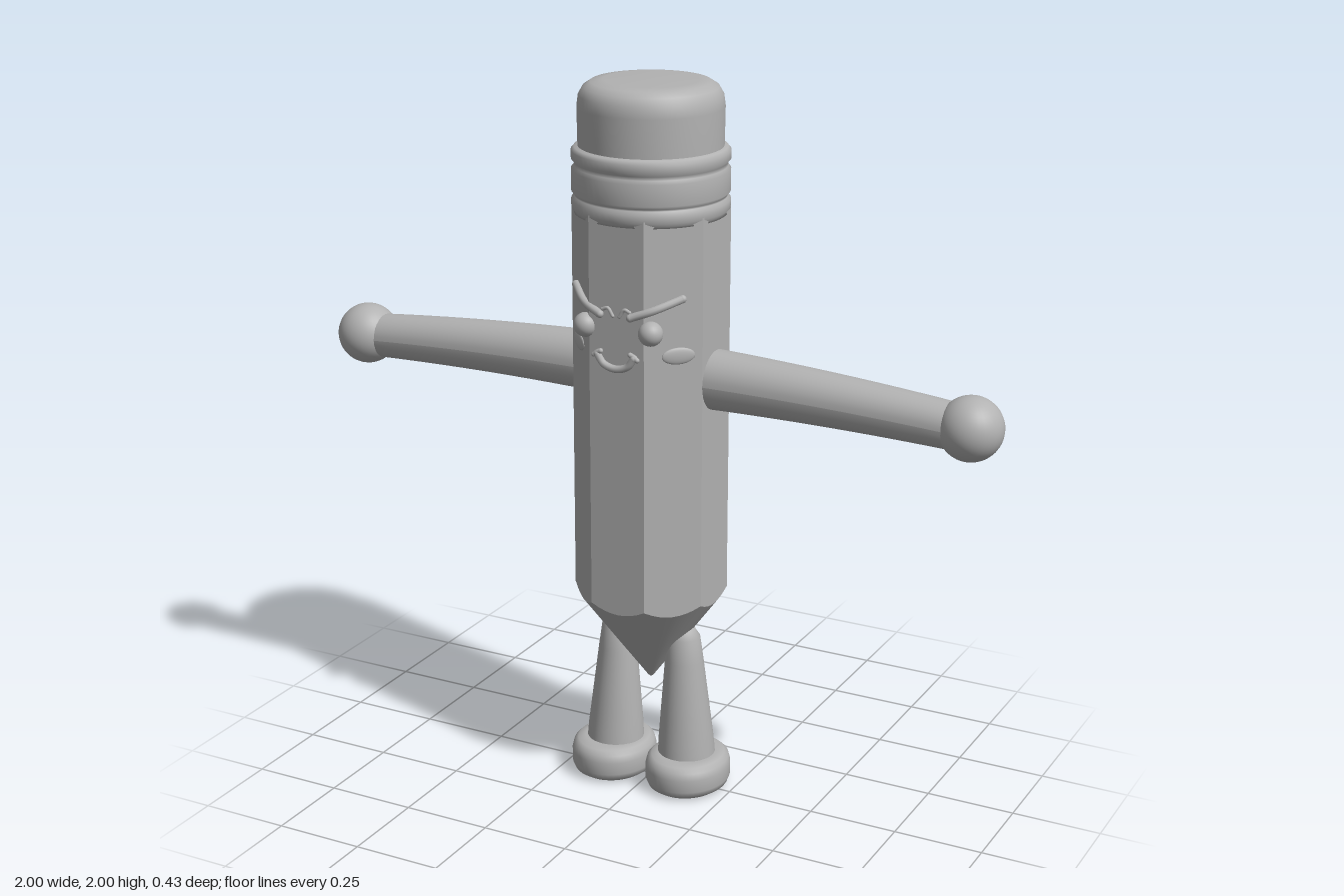
import * as THREE from 'three';

const grey = new THREE.MeshStandardMaterial({ color: 0xb2b2b2 });
grey.name = 'plain grey';

const APOTHEM = 0.195, TIP_Y = 0.3, SLOPE = 1.36, COLS = 64;

function add(parent, name, geometry, x = 0, y = 0, z = 0) {
  const mesh = new THREE.Mesh(geometry, grey);
  mesh.name = name;
  mesh.position.set(x, y, z);
  parent.add(mesh);
  return mesh;
}

const lathe = (pts, segs = 48) =>
  new THREE.LatheGeometry(pts.map(([r, y]) => new THREE.Vector2(r, y)), segs);

// distance from the axis to the octagon outline, flats facing the axes
function octRadius(a) {
  const step = Math.PI / 4;
  return APOTHEM / Math.cos(a - Math.round(a / step) * step);
}

// surface through stacked rings; each ring maps an angle to [radius, height]
function rings(rows) {
  const pos = [], index = [];
  for (const row of rows) {
    for (let i = 0; i < COLS; i++) {
      const a = (i / COLS) * Math.PI * 2, [r, y] = row(a);
      pos.push(r * Math.sin(a), y, r * Math.cos(a));
    }
  }
  for (let j = 0; j < rows.length - 1; j++) {
    for (let i = 0; i < COLS; i++) {
      const n = (i + 1) % COLS;
      const a = j * COLS + i, b = j * COLS + n, c = a + COLS, d = b + COLS;
      index.push(a, b, d, a, d, c);
    }
  }
  const g = new THREE.BufferGeometry();
  g.setAttribute('position', new THREE.Float32BufferAttribute(pos, 3));
  g.setIndex(index);
  g.computeVertexNormals();
  return g;
}

// front surface of the octagonal body
const faceZ = x => Math.min(APOTHEM, APOTHEM * Math.SQRT2 - Math.abs(x));

// rounded stroke lying on the body front
function stroke(parent, name, points, radius, lift = 0.006) {
  const curve = new THREE.CatmullRomCurve3(
    points.map(([x, y]) => new THREE.Vector3(x, y, faceZ(x) + lift)));
  add(parent, name, new THREE.TubeGeometry(curve, 24, radius, 10));
  for (const t of [0, 1]) {
    const p = curve.getPoint(t);
    add(parent, name + 'End', new THREE.SphereGeometry(radius, 10, 8), p.x, p.y, p.z);
  }
}

function arm(s) {
  const g = new THREE.CylinderGeometry(0.062, 0.083, 0.72, 32, 10);
  g.rotateZ(-s * Math.PI / 2);
  g.translate(s * 0.51, 0, 0);
  // gentle droop towards the hand
  const p = g.attributes.position;
  for (let i = 0; i < p.count; i++) {
    const t = (Math.abs(p.getX(i)) - 0.15) / 0.72;
    p.setY(i, p.getY(i) + 1.212 - 0.025 * t * t);
  }
  g.computeVertexNormals();
  return g;
}

function leg(s) {
  const g = lathe([[0.082, 0.08], [0.078, 0.14], [0.066, 0.26], [0.054, 0.38],
    [0.046, 0.45], [0.03, 0.475], [0, 0.483]], 32);
  // lean inwards towards the top
  const p = g.attributes.position;
  for (let i = 0; i < p.count; i++) p.setX(i, p.getX(i) + s * (0.114 - 0.03 * (p.getY(i) - 0.08)));
  return g;
}

export function createModel() {
  const model = new THREE.Group();
  model.name = 'pencilFigure';

  // octagonal shaft with scalloped lower edge, and sharpened cone
  const shaft = rings([
    a => [octRadius(a), TIP_Y + SLOPE * octRadius(a)],
    a => [octRadius(a), 1.67],
  ]).toNonIndexed();
  shaft.computeVertexNormals();
  add(model, 'shaft', shaft);
  add(model, 'sharpenedTip', rings([0, 0.04, 0.3, 0.65, 1].map(f => a => {
    const r = octRadius(a) * f;
    return [r, TIP_Y + SLOPE * r + (f === 0 ? 0.004 : 0)];
  })));

  // ferrule with three rounded bands, and eraser
  const ferrule = [[0.18, 1.65], [0.203, 1.65]];
  for (const [y0, y1] of [[1.655, 1.695], [1.7, 1.775], [1.785, 1.825]]) {
    ferrule.push([0.202, y0], [0.21, y0 + 0.009], [0.21, y1 - 0.009], [0.202, y1]);
  }
  ferrule.push([0.185, 1.83]);
  add(model, 'ferrule', lathe(ferrule, 64));
  add(model, 'eraser', lathe([[0.192, 1.8], [0.194, 1.93], [0.19, 1.96], [0.178, 1.981],
    [0.158, 1.994], [0.125, 1.999], [0, 2]], 64));

  for (const s of [1, -1]) {
    const side = s > 0 ? 'left' : 'right';

    // arms and ball hands
    add(model, side + 'Arm', arm(s));
    add(model, side + 'Hand', new THREE.SphereGeometry(0.086, 32, 24), s * 0.914, 1.188, 0);

    // legs and oval feet with a shallow round sole recess
    add(model, side + 'Leg', leg(s));
    const foot = add(model, side + 'Foot', lathe([[0, 0.006], [0.068, 0.006], [0.07, 0],
      [0.095, 0.001], [0.11, 0.012], [0.117, 0.03], [0.117, 0.065], [0.112, 0.085],
      [0.1, 0.097], [0.08, 0.102], [0, 0.103]]), s * 0.118, 0, 0);
    foot.scale.z = 1.13;

    // eyes, brows and cheeks
    add(model, side + 'Eye', new THREE.SphereGeometry(0.033, 24, 16), s * 0.096, 1.373, 0.186);
    stroke(model, side + 'Brow', [[s * 0.045, 1.413], [s * 0.1, 1.434], [s * 0.158, 1.46]], 0.011, 0.008);
    stroke(model, side + 'FrownLine', [[s * 0.04, 1.425], [s * 0.025, 1.43], [s * 0.01, 1.41]], 0.005, 0.001);
    const cheek = add(model, side + 'Cheek', new THREE.SphereGeometry(1, 24, 12),
      s * 0.148, 1.305, faceZ(0.148));
    cheek.scale.set(0.046, 0.023, 0.007);
    cheek.rotation.y = s * Math.PI / 4;
    stroke(model, side + 'MouthCorner', [[s * 0.064, 1.3], [s * 0.054, 1.308], [s * 0.044, 1.312]], 0.007);
  }

  // smile
  stroke(model, 'mouth', [[-0.054, 1.303], [-0.035, 1.278], [0, 1.268], [0.035, 1.278], [0.054, 1.303]], 0.01);

  return model;
}
